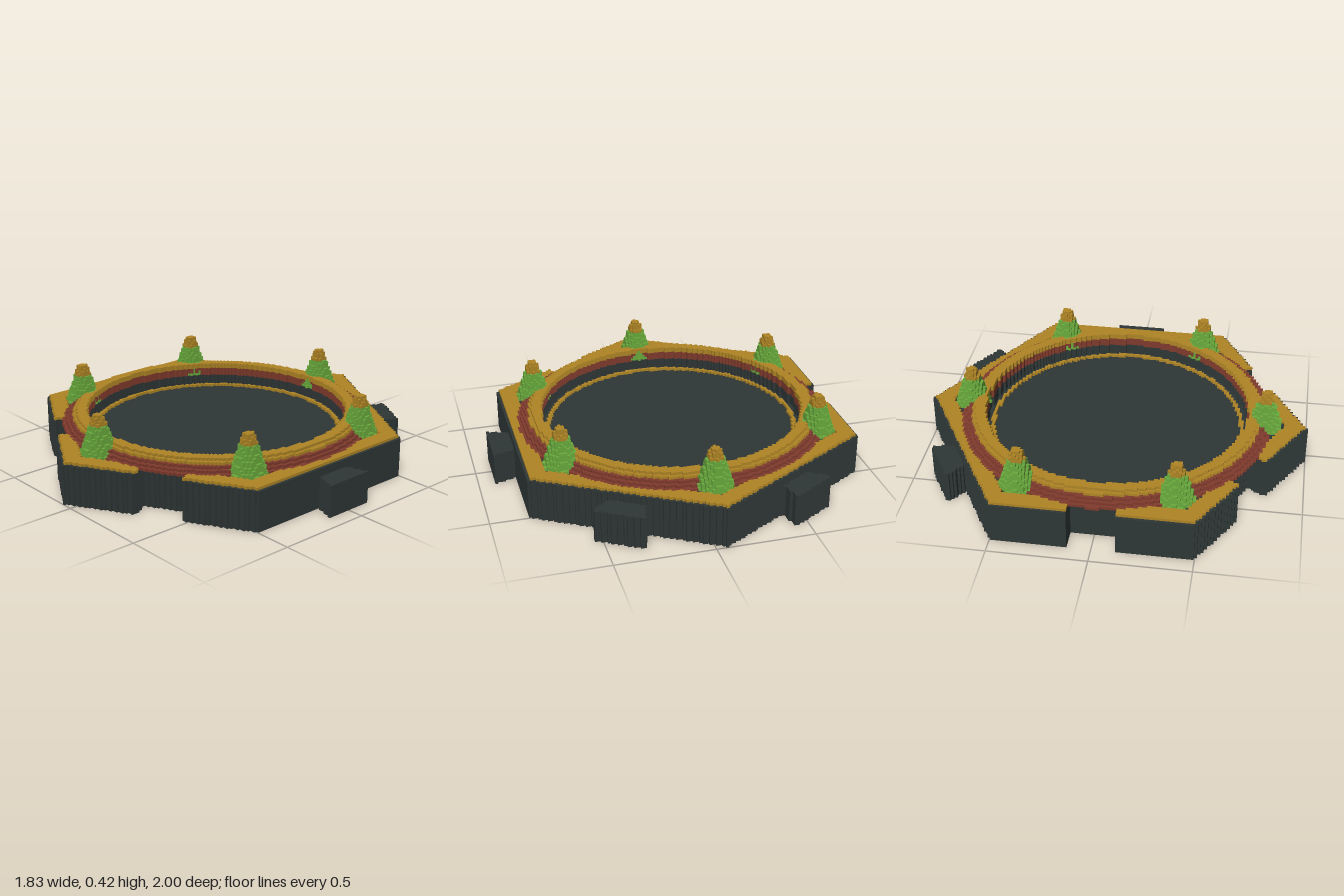
import * as THREE from 'three';

const S = 2 / 143;                 // edge of one block
const NX = 71, NZ = 71, NY = 31;   // grid reach around the hexagon's centre
const APOTHEM = 0.8605;
const SHIFT_X = -4 * S;            // the joining tab on one side offsets the hexagon

const flat = (name, color) => {
  const m = new THREE.MeshStandardMaterial({ color });
  m.name = name;
  return m;
};

// Distance across the hexagon (points towards +z and -z)
const hex = (x, z) => Math.max(...[0, 1, 2].map((i) =>
  Math.abs(x * Math.cos(i * Math.PI / 3) + z * Math.sin(i * Math.PI / 3))));

// Does a rule hold at any of the given edge directions? The rule gets (outward, sideways)
const atEdges = (degrees, x, z, rule) => degrees.some((d) => {
  const c = Math.cos(d * Math.PI / 180), s = Math.sin(d * Math.PI / 180);
  return rule(x * c + z * s, Math.abs(z * c - x * s));
});
const inNotch = (x, z) => atEdges([60, 120, 180], x, z, (o, w) => o > 0.755 && w < 0.123);
const inTab = (x, z) => atEdges([0, -60, -120], x, z, (o, w) =>
  o > 0.8 && o < 0.975 && w < 0.095 + Math.max(0, o - 0.86) * 0.32);

// Distance to the nearest tree axis
const treeDistance = (x, z) => {
  let d = 9;
  for (let i = 0; i < 6; i++) {
    const a = Math.PI / 2 + i * Math.PI / 3;
    d = Math.min(d, Math.hypot(x - 0.775 * Math.cos(a), z - 0.775 * Math.sin(a)));
  }
  return d;
};
const inTree = (x, z, k) => k >= 15 && k < 30 && treeDistance(x, z) < 0.09 - (k - 15) * 0.0047;

// Outer radius of each stepped layer of the round wall, from layer 15 up
const WALL = [0.812, 0.793, 0.775, 0.757, 0.741];
const inWall = (r, k) => k >= 15 && k < 20 && r > 0.687 && r < WALL[k - 15];

export function createModel() {
  const slate = flat('dark slate', 0x2e3636);
  const gold = flat('ochre gold', 0xae8424);
  const red = flat('brick red', 0x7f3a2c);
  const green = flat('leaf green', 0x69aa3c);

  // Each part is a rule over (x, z, radius, layer); the first that holds claims the block
  const parts = [
    ['treeTips', gold, (x, z, r, k) => k >= 26 && inTree(x, z, k)],
    ['trees', green, (x, z, r, k) => inTree(x, z, k)],
    ['wallCap', gold, (x, z, r, k) => k >= 18 && inWall(r, k)],
    ['wall', red, (x, z, r, k) => inWall(r, k)],
    ['border', gold, (x, z, r, k) => {
      if (k !== 15) return false;
      const h = hex(x, z);
      return h > 0.766 && h < 0.848 && !inNotch(x, z);
    }],
    ['floorRing', gold, (x, z, r, k) => k === 11 && r > 0.645 && r < 0.663],
    ['joiningTabs', slate, (x, z, r, k) => k < 12 && hex(x, z) > APOTHEM && inTab(x, z)],
    ['base', slate, (x, z, r, k) => k < (r < 0.687 ? 11 : 15) && hex(x, z) <= APOTHEM
      && !inNotch(x, z) && !(r < 0.12 && k < 8)],
  ];

  // Fill the grid with part numbers (0 = empty)
  const size = [2 * NX + 3, NY + 2, 2 * NZ + 3];
  const grid = new Uint8Array(size[0] * size[1] * size[2]);
  const at = (p) => (p[0] * size[1] + p[1]) * size[2] + p[2];
  for (let i = -NX; i <= NX; i++) for (let j = -NZ; j <= NZ; j++) {
    const x = i * S, z = j * S, r = Math.hypot(x, z);
    if (r > 1.01) continue;
    for (let k = 0; k < NY; k++) {
      grid[at([i + NX + 1, k + 1, j + NZ + 1])] = parts.findIndex((p) => p[2](x, z, r, k)) + 1;
    }
  }

  // Skin the blocks: visible faces, joined into strips along one axis
  const skins = parts.map(() => ({ pos: [], nor: [] }));
  const origin = [-(NX + 1.5) * S + SHIFT_X, -S, -(NZ + 1.5) * S];
  for (let d = 0; d < 3; d++) for (const sign of [1, -1]) {
    const run = d === 1 ? 0 : 1;
    const other = 3 - d - run;
    const u = (d + 1) % 3, v = (d + 2) % 3;
    const normal = [0, 0, 0];
    normal[d] = sign;
    const addStrip = (part, start, length) => {
      const span = [1, 1, 1];
      span[run] = length;
      const corner = (a, b) => {
        const p = [...start];
        if (sign > 0) p[d] += 1;
        p[u] += a * span[u];
        p[v] += b * span[v];
        return p.map((n, i) => n * S + origin[i]);
      };
      const q = [corner(0, 0), corner(1, 0), corner(1, 1), corner(0, 1)];
      if (sign < 0) q.reverse();
      for (const n of [0, 1, 2, 0, 2, 3]) {
        skins[part - 1].pos.push(...q[n]);
        skins[part - 1].nor.push(...normal);
      }
    };
    const p = [0, 0, 0];
    for (let a = 1; a < size[d] - 1; a++) for (let b = 1; b < size[other] - 1; b++) {
      let current = 0, begin = 0;
      for (let c = 1; c < size[run]; c++) {
        p[d] = a; p[other] = b; p[run] = c;
        let part = grid[at(p)];
        if (part) {
          p[d] += sign;
          if (grid[at(p)]) part = 0;
          p[d] = a;
        }
        if (part === current) continue;
        if (current) {
          const start = [...p];
          start[run] = begin;
          addStrip(current, start, c - begin);
        }
        current = part;
        begin = c;
      }
    }
  }

  const group = new THREE.Group();
  group.name = 'hexagonalTile';
  parts.forEach(([name, material], i) => {
    const geometry = new THREE.BufferGeometry();
    geometry.setAttribute('position', new THREE.Float32BufferAttribute(skins[i].pos, 3));
    geometry.setAttribute('normal', new THREE.Float32BufferAttribute(skins[i].nor, 3));
    const mesh = new THREE.Mesh(geometry, material);
    mesh.name = name;
    group.add(mesh);
  });
  return group;
}
